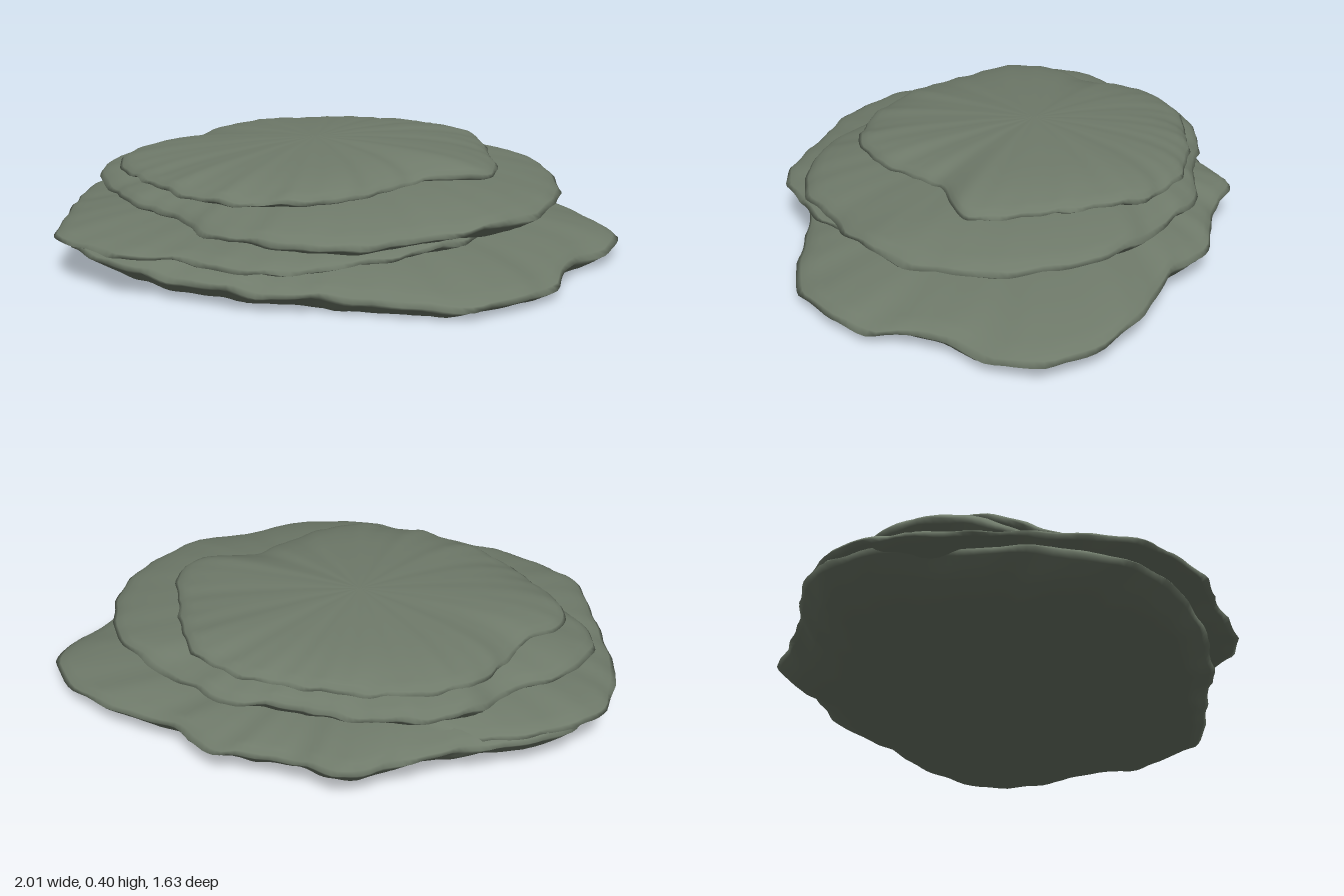
import * as THREE from 'three';

const CENTRE = -0.1; // shared x and z of the slab centres
const SEGMENTS = 200;

// Cross-section of a slab from top centre, over the rim, to bottom centre:
// [fraction of outline radius, height as a fraction of rise or drop]
const PROFILE = [
  [0.001, 1], [0.3, 0.97], [0.6, 0.83], [0.76, 0.68], [0.86, 0.52], [0.92, 0.38], [0.955, 0.3], [0.985, 0.14], [1, 0],
  [0.98, -0.1], [0.95, -0.25], [0.925, -0.36], [0.89, -0.5], [0.8, -0.72], [0.67, -0.92], [0.5, -1], [0.001, -1],
];

// Periodic ripple with some sharp ridges, roughly -1 to 1
function ripple(a, seed) {
  const ridge = (n, phase) => 1 - 2 * Math.abs(Math.sin(n * a + phase));
  return 0.4 * Math.sin(7 * a + seed * 3.1) + 0.25 * Math.sin(13 * a + seed * 5.7)
    + 0.35 * ridge(9, seed * 1.9) + 0.25 * ridge(17, seed * 2.3);
}

// radii: outline at equal angles from the right, round by the back and the left to the front
// edge(x, z): height of the tilted rim; rise and drop: thickness above and below it
function slab(name, material, { radii, edge, rise, drop, seed }) {
  const outline = new THREE.CatmullRomCurve3(radii.map((r, i) => {
    const a = (i / radii.length) * Math.PI * 2;
    return new THREE.Vector3(r * Math.cos(a), 0, -r * Math.sin(a));
  }), true);
  const positions = [], index = [];
  PROFILE.forEach(([s, h], j) => {
    const wear = s ** 3; // weathering dies away towards the centre
    for (let i = 0; i < SEGMENTS; i++) {
      const a = (i / SEGMENTS) * Math.PI * 2;
      const p = outline.getPoint(i / SEGMENTS);
      const r = s * (1 + 0.017 * wear * ripple(a, seed + 0.15 * j));
      const x = CENTRE + p.x * r;
      const z = CENTRE + p.z * r;
      const y = edge(x, z) + h * (h > 0 ? rise : drop)
        + 0.01 * wear * ripple(a, seed * 2 + 0.1 * j) + 0.002 * s * Math.sin(17 * a + seed);
      positions.push(x, Math.max(0, y), z);
      if (j < PROFILE.length - 1) {
        const k = (i + 1) % SEGMENTS, n = j * SEGMENTS, m = n + SEGMENTS;
        index.push(n + i, m + i, m + k, n + i, m + k, n + k);
      }
    }
  });
  const geometry = new THREE.BufferGeometry();
  geometry.setAttribute('position', new THREE.Float32BufferAttribute(positions, 3));
  geometry.setIndex(index);
  geometry.computeVertexNormals();
  const mesh = new THREE.Mesh(geometry, material);
  mesh.name = name;
  return mesh;
}

export function createModel() {
  const group = new THREE.Group();
  group.name = 'layeredRock';
  const stone = new THREE.MeshStandardMaterial({ color: 0x6f7a6a });

  // Broad bottom slab, flat where it meets the ground
  group.add(slab('baseSlab', stone, {
    radii: [1.1, 0.97, 0.77, 0.735, 0.68, 0.725, 0.66, 0.7, 0.82, 0.87,
      0.83, 0.87, 0.92, 0.88, 0.82, 0.82, 0.86, 0.985, 1.05, 1.01],
    edge: (x, z) => 0.085 - 0.035 * x - 0.04 * z, rise: 0.095, drop: 0.13, seed: 1.3,
  }));

  // Thin ledge jutting out to the left and front
  group.add(slab('ledgeSlab', stone, {
    radii: [0.69, 0.62, 0.54, 0.48, 0.45, 0.45, 0.5, 0.66, 0.81, 0.92,
      0.895, 0.9, 0.99, 0.93, 0.88, 0.92, 0.855, 0.82, 0.78, 0.74],
    edge: (x) => 0.168 + 0.028 * x, rise: 0.08, drop: 0.06, seed: 4.1,
  }));

  // Thick slab overhanging on the right and back
  group.add(slab('upperSlab', stone, {
    radii: [0.88, 0.83, 0.72, 0.68, 0.6, 0.6, 0.64, 0.67, 0.65, 0.78,
      0.83, 0.74, 0.71, 0.665, 0.745, 0.81, 0.85, 0.835, 0.905, 0.915],
    edge: (x, z) => 0.242 + 0.015 * x - 0.03 * z, rise: 0.1, drop: 0.095, seed: 7.7,
  }));

  // Gently domed top
  group.add(slab('capSlab', stone, {
    radii: [0.65, 0.63, 0.65, 0.62, 0.57, 0.56, 0.58, 0.6, 0.6, 0.595,
      0.72, 0.7, 0.65, 0.645, 0.65, 0.635, 0.6, 0.55, 0.54, 0.7],
    edge: (x, z) => 0.318 + 0.03 * x - 0.015 * z, rise: 0.08, drop: 0.055, seed: 2.6,
  }));

  return group;
}
